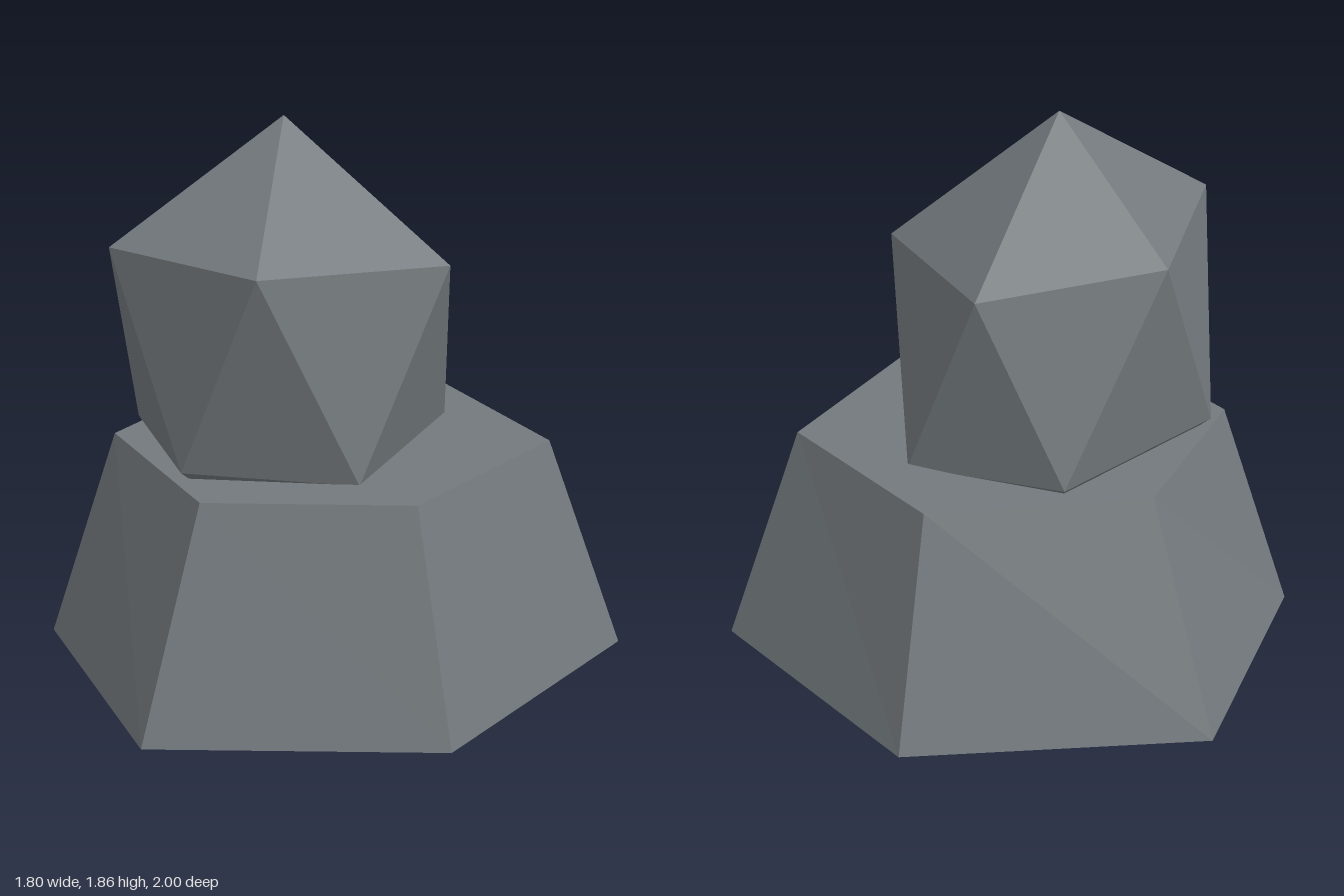
import * as THREE from 'three';

// Flat-shaded mesh from a list of triangles, each made of three [x, y, z] corners
function facetMesh(name, triangles, material) {
  const geometry = new THREE.BufferGeometry();
  geometry.setAttribute('position', new THREE.Float32BufferAttribute(triangles.flat(2), 3));
  geometry.computeVertexNormals();
  const mesh = new THREE.Mesh(geometry, material);
  mesh.name = name;
  return mesh;
}

// Fan closing a ring to a tip; rings run counterclockwise seen from the tip
const fan = (ring, tip) => ring.map((p, i) => [p, ring[(i + 1) % ring.length], tip]);

// Band of triangles between two rings of equal length
const band = (low, high) => low.flatMap((p, i) => {
  const j = (i + 1) % low.length;
  return [[p, low[j], high[i]], [high[i], low[j], high[j]]];
});

export function createModel() {
  const model = new THREE.Group();
  model.name = 'stonePile';

  const stone = new THREE.MeshStandardMaterial({ color: 0x73797d });
  stone.name = 'stone grey';

  // Six-sided tapered base block
  const foot = [[-0.03, 0.995], [0.9, 0.515], [0.85, -0.48], [-0.03, -1], [-0.83, -0.445], [-0.9, 0.54]]
    .map(([x, z]) => [x, 0, z]);
  const rim = [[-0.03, 0.75], [0.655, 0.415], [0.63, -0.32], [-0.03, -0.665], [-0.635, -0.3], [-0.635, 0.425]]
    .map(([x, z]) => [x, 0.75, z]);
  model.add(facetMesh('baseBlock', [
    ...band(foot, rim),
    ...fan(rim, [0, 0.75, 0]),
    ...fan([...foot].reverse(), [0, 0, 0]),
  ], stone));

  // Twenty-sided boulder, its lowest point sunk into the base
  const lower = [[-0.11, 0.745, 0.505], [0.48, 0.74, 0], [0.205, 0.775, -0.5], [-0.52, 0.775, -0.365], [-0.615, 0.78, 0.23]];
  const upper = [[0.28, 1.4, 0.38], [0.37, 1.385, -0.24], [-0.185, 1.46, -0.52], [-0.735, 1.48, -0.045], [-0.46, 1.47, 0.485]];
  model.add(facetMesh('topBoulder', [
    ...band(lower, upper),
    ...fan(upper, [-0.13, 1.86, -0.01]),
    ...fan([...lower].reverse(), [-0.13, 0.36, -0.01]),
  ], stone));

  return model;
}
